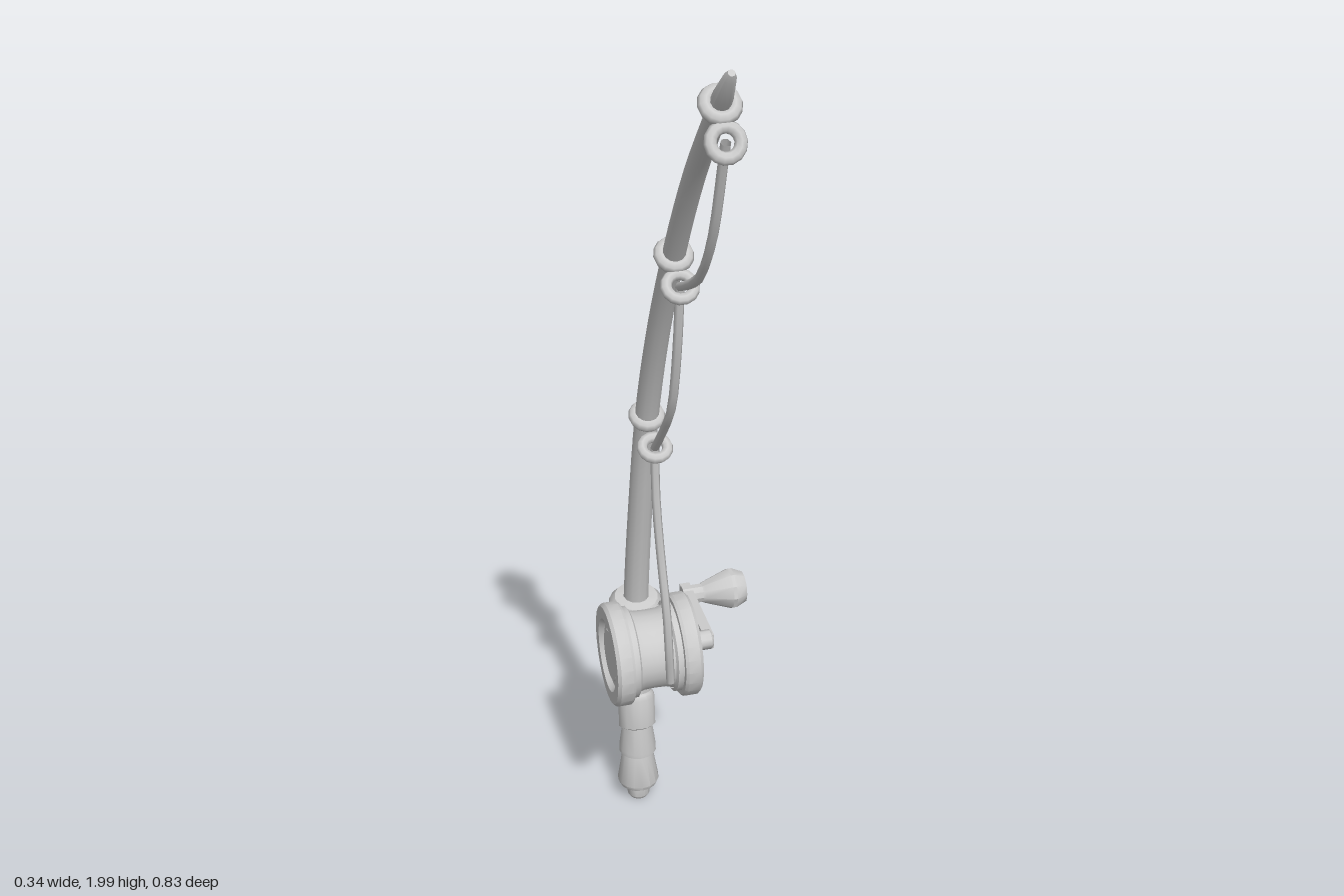
import * as THREE from 'three';
import { toCreasedNormals } from 'three/addons/utils/BufferGeometryUtils.js';

const X = -0.082; // plane of the rod
const material = new THREE.MeshStandardMaterial({ color: 0xcccccc, side: THREE.DoubleSide });
const UP = new THREE.Vector3(0, 1, 0);
const FORWARD = new THREE.Vector3(0, 0, 1);

const inPlane = ([z, y, x = X]) => new THREE.Vector3(x, y, z);

function part(name, geometry, parent) {
  const mesh = new THREE.Mesh(geometry, material);
  mesh.name = name;
  parent.add(mesh);
  return mesh;
}

// Turned shape: [radius, height] pairs listed from bottom to top
function turned(profile, sides = 16) {
  return new THREE.LatheGeometry(profile.map(([r, h]) => new THREE.Vector2(r, h)), sides);
}
const crease = (geometry) => toCreasedNormals(geometry, 0.6);
const turnedX = (profile, sides) => crease(turned(profile, sides).rotateZ(-Math.PI / 2));

// Tube whose radius runs evenly from r0 to r1
function taperedTube(curve, segments, r0, r1, sides) {
  const geometry = new THREE.TubeGeometry(curve, segments, 1, sides);
  const pos = geometry.attributes.position;
  const v = new THREE.Vector3();
  for (let i = 0; i <= segments; i++) {
    const centre = curve.getPointAt(i / segments);
    const r = THREE.MathUtils.lerp(r0, r1, i / segments);
    for (let j = 0; j <= sides; j++) {
      const k = i * (sides + 1) + j;
      v.fromBufferAttribute(pos, k).sub(centre).multiplyScalar(r).add(centre);
      pos.setXYZ(k, v.x, v.y, v.z);
    }
  }
  return geometry;
}

function buildHandle(parent) {
  const grip = turned([
    [0, 0.01], [0.02, 0.01], [0.025, 0.018], [0.025, 0.05], [0.042, 0.05], [0.046, 0.06],
    [0.034, 0.135], [0.041, 0.14], [0.041, 0.15], [0.034, 0.205], [0.041, 0.21],
    [0.04, 0.285], [0.036, 0.295], [0.031, 0.3], [0.033, 0.36], [0.04, 0.367],
    [0.066, 0.387], [0.07, 0.397], [0.07, 0.41], [0.06, 0.422], [0.022, 0.422],
    [0.02, 0.47],
  ]);
  // Slant the wrapped bands in the middle of the grip
  const pos = grip.attributes.position;
  for (let i = 0; i < pos.count; i++) {
    const y = pos.getY(i);
    if (y > 0.2 && y < 0.305) pos.setY(i, y + 0.3 * pos.getZ(i));
  }
  part('handleGrip', crease(grip), parent).position.set(X, 0, -0.337);

  const collar = part('reelCollar', crease(turned([
    [0.02, -0.055], [0.046, -0.055], [0.058, -0.042], [0.06, 0], [0.058, 0.036],
    [0.046, 0.052], [0.026, 0.055],
  ])), parent);
  collar.position.set(X, 0.512, -0.325);
  collar.rotation.x = 0.14;
}

function buildReel(parent) {
  const reel = new THREE.Group();
  reel.name = 'reel';
  reel.position.set(X, 0.503, -0.206);
  parent.add(reel);

  part('spool', turnedX([
    [0.096, -0.057], [0.09, -0.045], [0.084, -0.025], [0.083, 0], [0.084, 0.025],
    [0.09, 0.045], [0.096, 0.057],
  ], 24), reel);

  // Rimmed side plates with a sunken face and a raised hub
  const plate = [
    [0.09, 0.036], [0.097, 0.04], [0.097, 0.052], [0.106, 0.053], [0.11, 0.059],
    [0.11, 0.084], [0.104, 0.091], [0.078, 0.091], [0.07, 0.08], [0.058, 0.08],
    [0.054, 0.085], [0, 0.085],
  ];
  part('leftPlate', turnedX(plate, 24), reel);
  part('rightPlate', turnedX(plate, 24), reel).rotation.y = Math.PI;

  part('reelFoot', new THREE.BoxGeometry(0.05, 0.06, 0.08), reel).position.z = -0.08;

  // Crank with its turned knob
  part('crankShaft', turnedX([[0.021, 0.08], [0.021, 0.132], [0.016, 0.137], [0, 0.137]], 12), reel);
  part('crankArm', new THREE.BoxGeometry(0.022, 0.034, 0.205), reel).position.set(0.127, 0, -0.091);
  const knob = part('crankKnob', turnedX([
    [0, 0.116], [0.021, 0.116], [0.021, 0.16], [0.024, 0.165], [0.045, 0.222],
    [0.045, 0.23], [0.034, 0.254], [0, 0.254],
  ], 10), reel);
  knob.position.z = -0.172;
}

function buildRod(parent) {
  const curve = new THREE.CatmullRomCurve3([
    [-0.337, 0.42], [-0.318, 0.571], [-0.264, 0.815], [-0.19, 1.074], [-0.085, 1.312],
    [0.037, 1.524], [0.182, 1.735], [0.34, 1.92],
  ].map(inPlane));
  part('rod', taperedTube(curve, 28, 0.028, 0.018, 12), parent);

  const tip = part('rodTip', crease(turned([
    [0.018, -0.01], [0.017, 0.03], [0.011, 0.085], [0.006, 0.1], [0, 0.1],
  ], 12)), parent);
  tip.position.copy(inPlane([0.34, 1.92]));
  tip.quaternion.setFromUnitVectors(UP, new THREE.Vector3(0, 0.75, 0.66).normalize());

  // Guides: a band round the rod and an eyelet for the line
  const guides = [
    { band: [-0.19, 1.074], eye: [-0.127, 1.037], run: [0.9, 0.42] },
    { band: [0.037, 1.524], eye: [0.08, 1.482], run: [0.8, 0.6] },
    { band: [0.34, 1.92], eye: [0.374, 1.87], run: [0.75, 0.66], eyeRun: [0.45, 0.89] },
  ];
  for (const { band, eye, run, eyeRun } of guides) {
    const guide = new THREE.Group();
    guide.name = 'lineGuide';
    parent.add(guide);
    const ring = (name, at, [y, z], radius, thickness) => {
      const mesh = part(name, new THREE.TorusGeometry(radius, thickness, 8, 14), guide);
      mesh.position.copy(inPlane(at));
      mesh.quaternion.setFromUnitVectors(FORWARD, new THREE.Vector3(0, y, z).normalize());
    };
    ring('guideBand', band, run, 0.024, 0.013);
    ring('guideEyelet', eye, eyeRun ?? run, 0.025, 0.011);
  }
}

function buildLine(parent) {
  // Slack runs of line, each hanging between two points
  const runs = [
    [[-0.112, 0.48, -0.06], [-0.097, 0.56, -0.066], [-0.095, 0.656, -0.07],
      [-0.114, 0.8, -0.077], [-0.125, 0.93], [-0.127, 1.037]],
    [[-0.127, 1.037], [-0.06, 1.11], [0.01, 1.2], [0.056, 1.344], [0.08, 1.482]],
    [[0.08, 1.482], [0.15, 1.52], [0.217, 1.566], [0.296, 1.672], [0.374, 1.87]],
  ];
  for (const run of runs) {
    const curve = new THREE.CatmullRomCurve3(run.map(inPlane));
    part('fishingLine', new THREE.TubeGeometry(curve, 10, 0.009, 6), parent);
  }
}

export function createModel() {
  const model = new THREE.Group();
  model.name = 'fishingRod';
  buildHandle(model);
  buildReel(model);
  buildRod(model);
  buildLine(model);
  return model;
}
